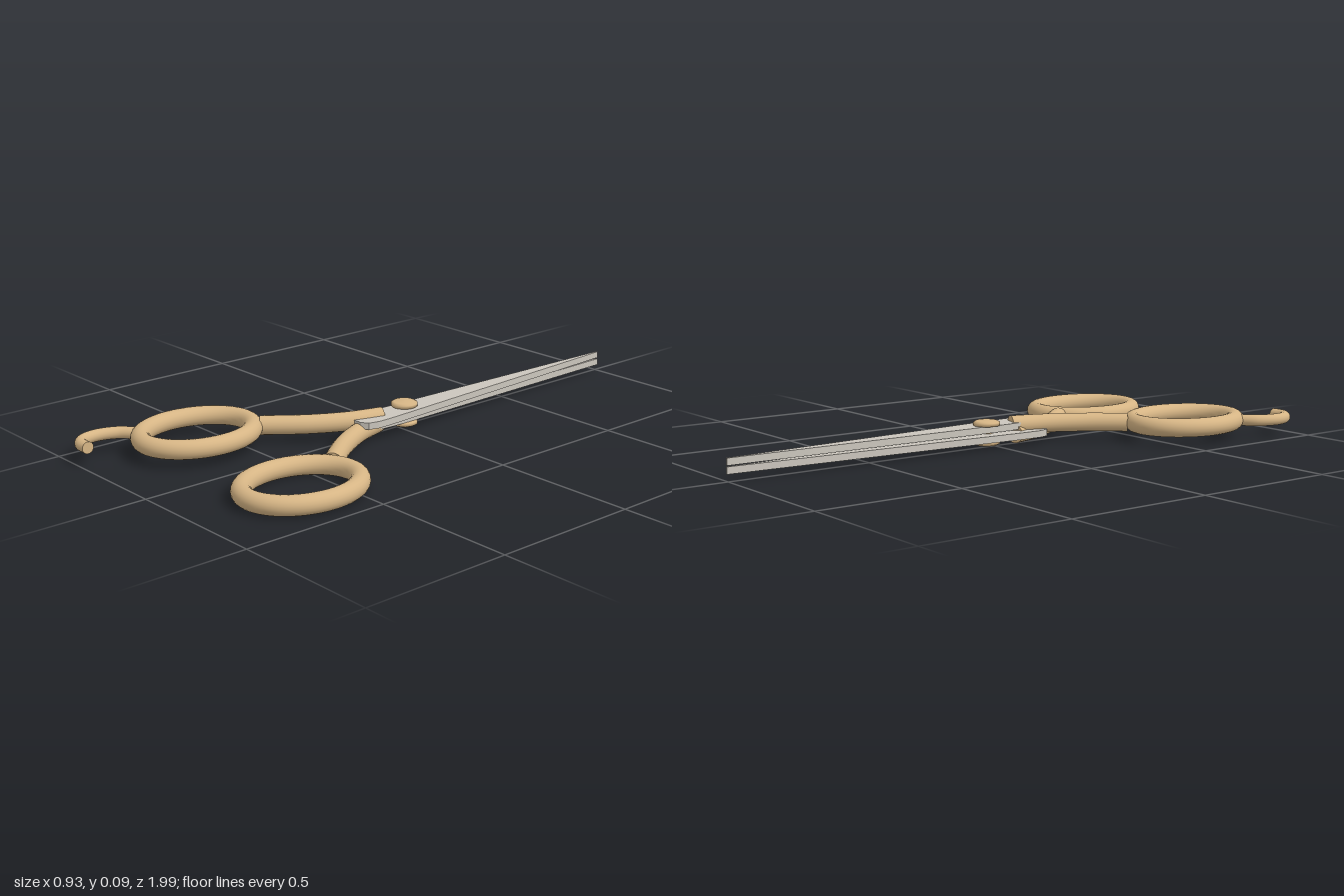
import * as THREE from 'three';

const AXIS = 0.008;   // x of the pivot; the two halves mirror about it
const PIVOT_Z = -0.026;

export function createModel() {
  const model = new THREE.Group();
  model.name = 'scissors';

  const metal = new THREE.MeshStandardMaterial({ color: 0xcbc6bd });
  metal.name = 'steel';
  const brass = new THREE.MeshStandardMaterial({ color: 0xd6b585 });
  brass.name = 'tan';

  const add = (parent, name, geometry, material) => {
    const mesh = new THREE.Mesh(geometry, material);
    mesh.name = name;
    parent.add(mesh);
    return mesh;
  };

  // Round bar along a curve, with flat caps when open
  const bar = (parent, name, points, radius, closed = false) => {
    const curve = new THREE.CatmullRomCurve3(points, closed);
    add(parent, name, new THREE.TubeGeometry(curve, closed ? 72 : 32, radius, 20, closed), brass);
    if (closed) return;
    for (const t of [0, 1]) {
      const cap = add(parent, name + 'Cap', new THREE.CircleGeometry(radius, 20), brass);
      const out = curve.getTangentAt(t).multiplyScalar(t ? 1 : -1);
      cap.position.copy(curve.getPointAt(t));
      cap.quaternion.setFromUnitVectors(new THREE.Vector3(0, 0, 1), out);
    }
  };

  // Blade outline as [x offset from the axis, z]
  const outline = [
    [0.003, -1], [0.028, -0.6], [0.053, -0.2], [0.066, 0], [0.072, 0.1], [0.072, 0.15],
    [0.062, 0.185], [0.04, 0.2], [0.005, 0.2], [-0.02, 0.17], [-0.03, 0.05],
    [-0.028, -0.1], [-0.017, -0.5], [-0.004, -1],
  ];

  // One half: blade, shank and finger ring. side = 1 has its blade on +x and ring on -x
  const half = (name, side, bladeY, handleY) => {
    const group = new THREE.Group();
    group.name = name;
    model.add(group);
    const at = (dx, z) => new THREE.Vector3(AXIS + side * dx, handleY, z);

    const shape = new THREE.Shape(outline.map(([dx, z]) => new THREE.Vector2(AXIS + side * dx, -z)));
    const blade = new THREE.ExtrudeGeometry(shape, { depth: 0.023, bevelEnabled: false });
    blade.rotateX(-Math.PI / 2).translate(0, bladeY, 0);
    add(group, 'blade', blade, metal);

    bar(group, 'shank', [at(0.011, 0.085), at(-0.026, 0.2), at(-0.092, 0.32), at(-0.186, 0.44)], 0.032);

    const ring = [];
    for (let i = 0; i < 32; i++) {
      const a = (i / 32) * Math.PI * 2;
      ring.push(at(-0.268 + 0.154 * Math.cos(a), 0.63 + 0.192 * Math.sin(a)));
    }
    bar(group, 'fingerRing', ring, 0.032, true);
    return group;
  };

  const upper = half('upperHalf', 1, 0.054, 0.065);
  half('lowerHalf', -1, 0.027, 0.037);

  // Curled finger rest behind the upper ring
  const hook = [[-0.38, 0.782], [-0.425, 0.825], [-0.447, 0.89], [-0.436, 0.945], [-0.405, 0.972], [-0.36, 0.974]];
  bar(upper, 'fingerRest', hook.map(([x, z]) => new THREE.Vector3(x, 0.065, z)), 0.02);

  // Pivot screw: slightly domed heads joined by a pin
  const profile = [
    [0, 0.009], [0.036, 0.011], [0.045, 0.016], [0.045, 0.027], [0.02, 0.027],
    [0.02, 0.077], [0.045, 0.077], [0.045, 0.088], [0.036, 0.093], [0, 0.095],
  ].map(([r, y]) => new THREE.Vector2(r, y));
  const screw = add(model, 'pivotScrew', new THREE.LatheGeometry(profile, 32), brass);
  screw.position.set(AXIS, 0, PIVOT_Z);

  model.position.y = -0.005;
  return model;
}
